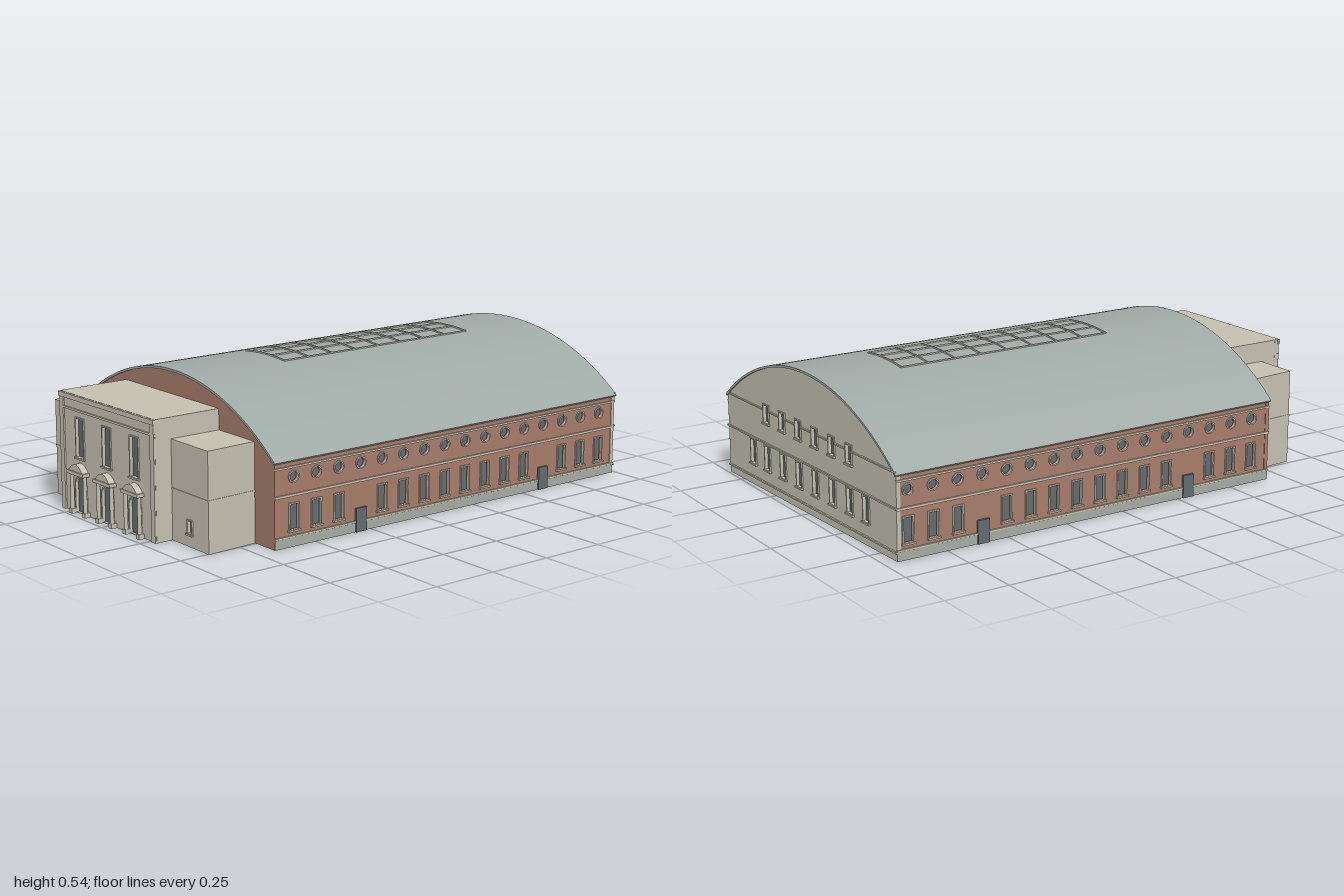
import * as THREE from 'three';
import { toCreasedNormals } from 'three/addons/utils/BufferGeometryUtils.js';

const material = (name, color) => {
  const m = new THREE.MeshStandardMaterial({ color });
  m.name = name;
  return m;
};

export function createModel() {
  const stone = material('pale stone', 0xc4bfb0);
  const brick = material('brick', 0xa67c69);
  const metal = material('roof metal', 0x9ea8a4);
  const plinthGrey = material('plinth grey', 0xa6aaa2);
  const glass = material('glass', 0x606c71);

  const model = new THREE.Group();
  model.name = 'arenaHall';
  const T = 0.016; // wall thickness

  const add = (parent, name, geo, mat, x = 0, y = 0, z = 0) => {
    const mesh = new THREE.Mesh(geo, mat);
    mesh.name = name;
    mesh.position.set(x, y, z);
    parent.add(mesh);
    return mesh;
  };
  const box = (parent, name, mat, w, h, d, x, y, z) =>
    add(parent, name, new THREE.BoxGeometry(w, h, d), mat, x, y, z);
  const extrude = (shape, depth) =>
    new THREE.ExtrudeGeometry(shape, { depth, bevelEnabled: false, curveSegments: 16 });

  // Outline of an opening, grown by g: round (r), arched or rectangular
  const outline = (Type, o, g = 0) => {
    const p = new Type();
    if (o.r) {
      p.absarc(o.x, o.y, o.r + g, 0, Math.PI * 2, false);
      return p;
    }
    const w = o.w / 2 + g, top = o.y + o.h + (o.arch ? 0 : g), bottom = o.y - (o.arch ? 0 : g);
    p.moveTo(o.x - w, bottom);
    p.lineTo(o.x + w, bottom);
    p.lineTo(o.x + w, top);
    if (o.arch) p.absarc(o.x, top, w, 0, Math.PI, false);
    else p.lineTo(o.x - w, top);
    p.closePath();
    return p;
  };

  // Wall from a to b ([x, z]); local +z points outwards
  const wall = (name, a, b, mat, height, openings = [], crown = null) => {
    const g = new THREE.Group();
    g.name = name;
    const dx = b[0] - a[0], dz = b[1] - a[1], len = Math.hypot(dx, dz);
    g.position.set((a[0] + b[0]) / 2, 0, (a[1] + b[1]) / 2);
    g.rotation.y = Math.atan2(-dz, dx);
    const s = new THREE.Shape();
    s.moveTo(-len / 2, 0);
    s.lineTo(len / 2, 0);
    s.lineTo(len / 2, height);
    if (crown) crown(s);
    s.lineTo(-len / 2, height);
    s.closePath();
    openings.forEach((o) => s.holes.push(outline(THREE.Path, o)));
    add(g, name + 'Panel', extrude(s, T), mat, 0, 0, -T);
    for (const o of openings) {
      add(g, 'pane', extrude(outline(THREE.Shape, o), 0.005), glass, 0, 0, -0.013);
      const f = outline(THREE.Shape, o, 0.005);
      f.holes.push(outline(THREE.Path, o));
      add(g, 'windowFrame', extrude(f, 0.007), stone, 0, 0, -0.002);
      if (!o.r && !o.arch) box(g, 'sill', stone, o.w + 0.016, 0.006, 0.012, o.x, o.y - 0.004, 0.004);
    }
    g.userData.length = len;
    model.add(g);
    return g;
  };
  const band = (g, mat, y, h, out) =>
    box(g, 'stringCourse', mat, g.userData.length + 0.004, h, out, 0, y, out / 2 - 0.001);

  // Barrel roof arc
  const HALF = 0.615, EAVE = 0.313, RISE = 0.226;
  const R = (HALF * HALF + RISE * RISE) / (2 * RISE), CY = EAVE + RISE - R;
  const a0 = Math.asin((EAVE - CY) / R);
  const rs = new THREE.Shape();
  rs.absarc(0, CY, R, a0, Math.PI - a0, false);
  rs.absarc(0, CY, R - 0.009, Math.PI - a0, a0, true);
  const roofGeo = new THREE.ExtrudeGeometry(rs, { depth: 1.658, bevelEnabled: false, curveSegments: 48 });
  roofGeo.rotateY(Math.PI / 2).translate(-0.683, 0, 0);
  const p = roofGeo.attributes.position;
  for (let i = 0; i < p.count; i++) if (p.getX(i) > 0) p.setX(i, p.getX(i) + 0.033 * p.getZ(i)); // slanted end
  add(model, 'barrelRoof', toCreasedNormals(roofGeo, 0.5), metal);

  // Skylight bars following the roof curve
  const sky = new THREE.Group();
  sky.name = 'skylight';
  model.add(sky);
  const roofY = (z) => CY + Math.sqrt(R * R - z * z);
  const rows = [-0.125, -0.045, 0.035, 0.115];
  rows.forEach((z) => {
    box(sky, 'skylightRail', stone, 0.909, 0.008, 0.005, 0.193, roofY(z) + 0.001, z).rotation.x = Math.asin(z / R);
  });
  for (let i = 0; i <= 8; i++) {
    for (let j = 0; j < 3; j++) {
      const z = (rows[j] + rows[j + 1]) / 2;
      box(sky, 'skylightBar', stone, 0.005, 0.008, 0.081, -0.259 + i * 0.113, roofY(z) + 0.001, z)
        .rotation.x = Math.asin(z / R);
    }
  }

  // Long brick walls with portholes, tall windows and two doors
  const longWall = (name, a, b, dir) => {
    const mid = (a[0] + b[0]) / 2, openings = [], doors = [];
    for (let i = 0; i < 16; i++) {
      const x = dir * (-0.595 + 0.1 * i - mid);
      openings.push({ x, y: 0.253, r: 0.018 });
      if (i === 3 || i === 12) doors.push(x);
      else openings.push({ x, y: 0.062, w: 0.036, h: 0.092 });
    }
    const g = wall(name, a, b, brick, 0.32, openings);
    box(g, 'plinth', plinthGrey, g.userData.length, 0.034, T + 0.008, 0, 0.017, -T / 2);
    [[0.038, 0.006], [0.187, 0.009], [0.288, 0.007]].forEach(([y, h]) => band(g, stone, y, h, 0.007));
    doors.forEach((x) => box(g, 'door', glass, 0.048, 0.088, T + 0.018, x, 0.044, -T / 2));
  };
  longWall('frontWall', [-0.677, 0.606], [0.988, 0.606], 1);
  longWall('backWall', [0.95, -0.606], [-0.677, -0.606], -1);

  // Arched gable walls
  const crown = (s) => {
    const r = R - 0.005, a = Math.asin((EAVE - CY) / r);
    s.absarc(0, CY, r, a, Math.PI - a, false);
  };
  const gableOpenings = [];
  for (const z of [0.06, 0.18, 0.3, 0.41]) {
    for (const s of [-1, 1]) {
      gableOpenings.push({ x: s * z, y: 0.088, w: 0.034, h: 0.092 });
      if (z < 0.4) gableOpenings.push({ x: s * z, y: 0.272, w: 0.034, h: 0.067 });
    }
  }
  const gable = wall('rightGable', [0.99, 0.608], [0.95, -0.608], stone, EAVE, gableOpenings, crown);
  [0.032, 0.19].forEach((y) => band(gable, stone, y, 0.006, 0.007));
  // upper course runs between the high windows
  for (let i = 0; i < 7; i++) {
    const x0 = i === 0 ? -0.608 : -0.42 + i * 0.12 + 0.022;
    const x1 = i === 6 ? 0.608 : -0.3 + i * 0.12 - 0.022;
    box(gable, 'stringCourse', stone, x1 - x0, 0.005, 0.007, (x0 + x1) / 2, 0.32, 0.0025);
  }
  wall('leftGable', [-0.679, -0.608], [-0.679, 0.608], brick, EAVE, [], crown);

  // Flat roof slab over a footprint of [x, z] corners
  const slab = (name, pts, top) => {
    const s = new THREE.Shape(pts.map(([x, z]) => new THREE.Vector2(x, -z)));
    add(model, name, extrude(s, 0.012).rotateX(-Math.PI / 2), stone, 0, top - 0.012, 0);
  };

  // Low side wings of the entrance block
  const wing = (name, pts, front) => {
    slab(name + 'Roof', pts, 0.368);
    for (let i = 0; i < 2; i++) {
      const openings = i === front ? [{ x: 0, y: 0.05, w: 0.022, h: 0.045 }] : [];
      const g = wall(name + 'Wall', pts[i], pts[i + 1], stone, 0.367, openings);
      band(g, stone, 0.19, 0.006, 0.003);
    }
  };
  wing('backWing', [[-0.68, -0.5], [-0.885, -0.485], [-0.885, -0.31], [-0.68, -0.31]], 1);
  wing('frontWing', [[-0.885, 0.285], [-0.885, 0.505], [-0.68, 0.495], [-0.68, 0.285]], 0);

  // Tall entrance block
  const tall = [[-0.68, -0.31], [-0.967, -0.31], [-0.952, 0.285], [-0.68, 0.285]];
  slab('entranceRoof', tall, 0.446);
  wall('entranceBackWall', tall[0], tall[1], stone, 0.445);
  wall('entranceFrontWall', tall[2], tall[3], stone, 0.445);
  const bays = [-0.172, 0, 0.172];
  const facadeOpenings = bays.flatMap((x) => [
    { x, y: 0.004, w: 0.066, h: 0.105, arch: true },
    { x, y: 0.215, w: 0.046, h: 0.145 },
  ]);
  const facade = wall('entranceFacade', tall[1], tall[2], stone, 0.445, facadeOpenings);
  band(facade, stone, 0.436, 0.018, 0.01);
  band(facade, stone, 0.39, 0.008, 0.007);
  for (const x of [-0.285, 0.285]) box(facade, 'cornerPilaster', stone, 0.024, 0.43, 0.006, x, 0.215, 0.003);

  // Portals: paired columns, balcony slab and curved hood
  for (const x of bays) {
    for (const s of [-1, 1]) {
      add(facade, 'portalColumn', new THREE.CylinderGeometry(0.007, 0.008, 0.15, 12), stone, x + s * 0.042, 0.08, 0.014);
      box(facade, 'columnBase', stone, 0.02, 0.018, 0.024, x + s * 0.042, 0.009, 0.012);
    }
    box(facade, 'portalLedge', stone, 0.106, 0.013, 0.03, x, 0.16, 0.015);
    const hood = new THREE.Shape();
    hood.moveTo(x - 0.045, 0.166);
    hood.lineTo(x + 0.045, 0.166);
    hood.quadraticCurveTo(x, 0.222, x - 0.045, 0.166);
    add(facade, 'portalHood', extrude(hood, 0.026), stone);
  }

  // Centre the whole on the ground plane
  const bounds = new THREE.Box3().setFromObject(model);
  const c = bounds.getCenter(new THREE.Vector3());
  model.children.forEach((m) => m.position.set(m.position.x - c.x, m.position.y - bounds.min.y, m.position.z - c.z));
  return model;
}
